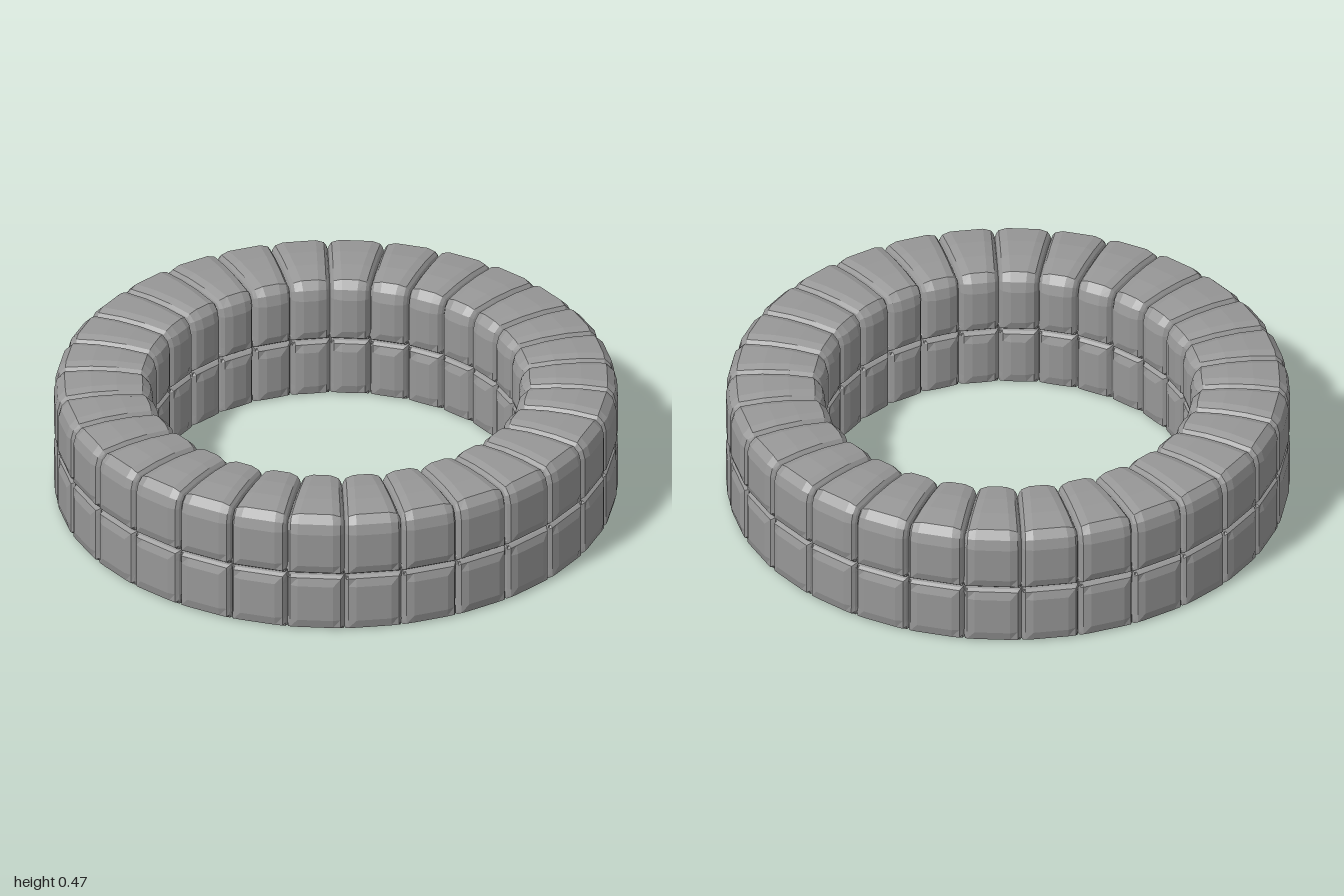
import * as THREE from 'three';

const COUNT = 30;                       // stones around the ring
const HALF = Math.PI / COUNT;
const OUTER = 1, INNER = 0.65;

// Outer half of the cross-section: [radius, height, depth already cut into the joint]
const outerLower = [
  [0.978, 0, 0.022], [0.992, 0.007, 0.008], [1, 0.04, 0], [1, 0.178, 0],
  [0.991, 0.208, 0.009], [0.98, 0.216, 0.02], [0.965, 0.22, 0.035],
];
const outerUpper = [
  [0.965, 0.22, 0.035], [0.98, 0.224, 0.02], [0.991, 0.232, 0.009], [1, 0.262, 0],
  [1, 0.39, 0], [0.99, 0.428, 0], [0.963, 0.456, 0], [0.87, 0.465, 0],
];
const mirrored = (pts) => pts.map(([r, y, d]) => [OUTER + INNER - r, y, d]).reverse();
const innerUpper = mirrored(outerUpper);
const innerLower = mirrored(outerLower);

// Steps across one stone: [side, distance from the joint, depth]
const half = [[0, 0.035], [0.005, 0.021], [0.014, 0.009], [0.042, 0]];
const across = [
  ...half.map(([g, d]) => [-1, g, d]),
  ...half.map(([g, d]) => [1, g, d]).reverse(),
];

// Bevelled shell of one stone, swept along its profile and sunk at the joints
function stoneGeometry(profile) {
  const last = profile.length - 1;
  const grid = profile.map(([r, y, cut], j) => {
    const a = profile[Math.max(j - 1, 0)], b = profile[Math.min(j + 1, last)];
    let n = new THREE.Vector2(b[1] - a[1], a[0] - b[0]).normalize();
    if (j === 0 || j === last) n = new THREE.Vector2(Math.sign(n.x), 0);
    return across.map(([side, gap, depth]) => {
      const sink = Math.max(0, depth - cut);
      const radius = r - n.x * sink;
      return [side * (radius * Math.tan(HALF) - gap), Math.max(0, y - n.y * sink), radius];
    });
  });
  const pos = [];
  for (let j = 0; j < last; j++) {
    for (let i = 0; i < across.length - 1; i++) {
      const a = grid[j][i], b = grid[j][i + 1], c = grid[j + 1][i + 1], d = grid[j + 1][i];
      pos.push(...a, ...b, ...c, ...a, ...c, ...d);
    }
  }
  const geo = new THREE.BufferGeometry();
  geo.setAttribute('position', new THREE.Float32BufferAttribute(pos, 3));
  geo.computeVertexNormals();
  return geo;
}

export function createModel() {
  const model = new THREE.Group();
  model.name = 'stoneRing';
  const material = new THREE.MeshStandardMaterial({
    color: 0x979797, flatShading: true, side: THREE.DoubleSide,
  });

  // Hollow, open-bottomed ring: two wall courses and a cap joining them
  const parts = {
    outerLowerStone: stoneGeometry(outerLower),
    capStone: stoneGeometry([...outerUpper, ...innerUpper]),
    innerLowerStone: stoneGeometry(innerLower),
  };
  for (let k = 0; k < COUNT; k++) {
    const segment = new THREE.Group();
    segment.name = `segment${k + 1}`;
    segment.rotation.y = (2 * k + 1) * HALF;
    for (const [name, geometry] of Object.entries(parts)) {
      const stone = new THREE.Mesh(geometry, material);
      stone.name = name;
      segment.add(stone);
    }
    model.add(segment);
  }
  return model;
}
